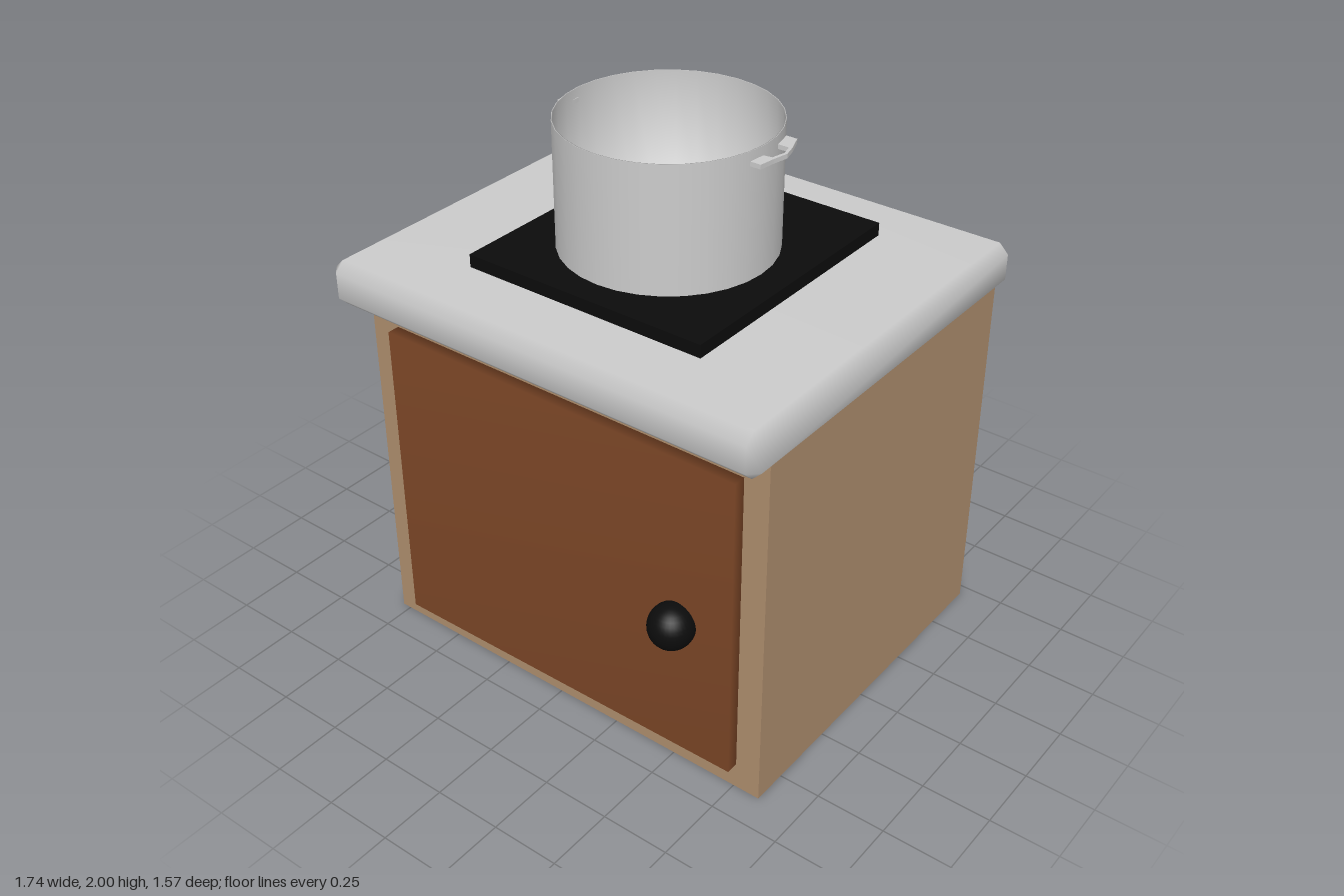
import * as THREE from 'three';
import { mergeVertices } from 'three/addons/utils/BufferGeometryUtils.js';
import { ConvexGeometry } from 'three/addons/geometries/ConvexGeometry.js';

const mat = (color, side = THREE.FrontSide) => new THREE.MeshStandardMaterial({ color, side });

// Weld corners so the shading runs smoothly across edges
function smooth(geometry) {
  geometry.deleteAttribute('normal');
  geometry.deleteAttribute('uv');
  const welded = mergeVertices(geometry, 1e-4);
  welded.computeVertexNormals();
  return welded;
}

// Box given by its limits on each axis
function boxBetween(x0, x1, y0, y1, z0, z1) {
  return new THREE.BoxGeometry(x1 - x0, y1 - y0, z1 - z0)
    .translate((x0 + x1) / 2, (y0 + y1) / 2, (z0 + z1) / 2);
}

// Box with every edge cut by a single bevel
function bevelledBox(w, h, d, b) {
  const points = [];
  for (const sx of [-1, 1]) for (const sy of [-1, 1]) for (const sz of [-1, 1]) {
    for (let axis = 0; axis < 3; axis++) {
      const p = [w, h, d].map((size, i) => size / 2 - (i === axis ? 0 : b));
      points.push(new THREE.Vector3(sx * p[0], sy * p[1], sz * p[2]));
    }
  }
  return smooth(new ConvexGeometry(points));
}

export function createModel() {
  const model = new THREE.Group();
  const add = (name, geometry, material, parent = model) => {
    const mesh = new THREE.Mesh(geometry, material);
    mesh.name = name;
    parent.add(mesh);
    return mesh;
  };
  const grey = mat(0xcccccc);
  const black = mat(0x0c0c0c);

  // Cabinet and worktop
  add('cabinet', boxBetween(-0.785, 0.85, 0, 1.335, -0.705, 0.63), mat(0xae8e6e));
  add('worktop', bevelledBox(1.735, 0.165, 1.51, 0.035), grey).position.set(-0.003, 1.4, -0.025);

  // Door, its lower edge slightly out of level
  const door = boxBetween(-0.67, 0.758, 0.085, 1.255, 0.62, 0.675);
  const pos = door.attributes.position;
  for (let i = 0; i < pos.count; i++) {
    if (pos.getY(i) < 0.5 && pos.getX(i) > 0) pos.setY(i, 0.1);
  }
  add('door', smooth(door), mat(0x7d4727));
  add('doorKnob', new THREE.SphereGeometry(0.08, 32, 16), black).position.set(0.547, 0.633, 0.705);

  // Hob plate
  add('hob', boxBetween(-0.467, 0.477, 1.47, 1.53, -0.54, 0.472), black);

  // Pot: outer wall, underside and softly shaded inside
  const pot = new THREE.Group();
  pot.name = 'pot';
  pot.position.set(0.016, 1.55, 0.03);
  model.add(pot);
  const r = 0.373, h = 0.45;
  add('potWall', new THREE.CylinderGeometry(r, r, h, 32, 1, true).translate(0, h / 2, 0), grey, pot);
  add('potUnderside', new THREE.CircleGeometry(r, 32).rotateX(Math.PI / 2), grey, pot);
  const inside = [[r, h], [r - 0.004, h], [r - 0.004, 0.004], [0, 0.004]];
  add('potInside', new THREE.LatheGeometry(inside.map(p => new THREE.Vector2(...p)), 32), grey, pot);

  // Handles: flat loops with wide end tabs and a thin grip, as x and z
  const outline = [
    [0.345, -0.155], [0.386, -0.155], [0.412, -0.09], [0.424, -0.045], [0.413, 0.01], [0.405, 0.07],
    [0.365, 0.07], [0.365, 0.01], [0.402, 0.005], [0.413, -0.045], [0.402, -0.085], [0.362, -0.085],
  ];
  for (const [name, side] of [['leftHandle', 1], ['rightHandle', -1]]) {
    const shape = new THREE.Shape(outline.map(([x, z]) => new THREE.Vector2(side * x, z)));
    const geometry = new THREE.ExtrudeGeometry(shape, { depth: 0.016, bevelEnabled: false });
    add(name, geometry.rotateX(Math.PI / 2).translate(0, 0.417, 0), grey, pot);
  }

  return model;
}
